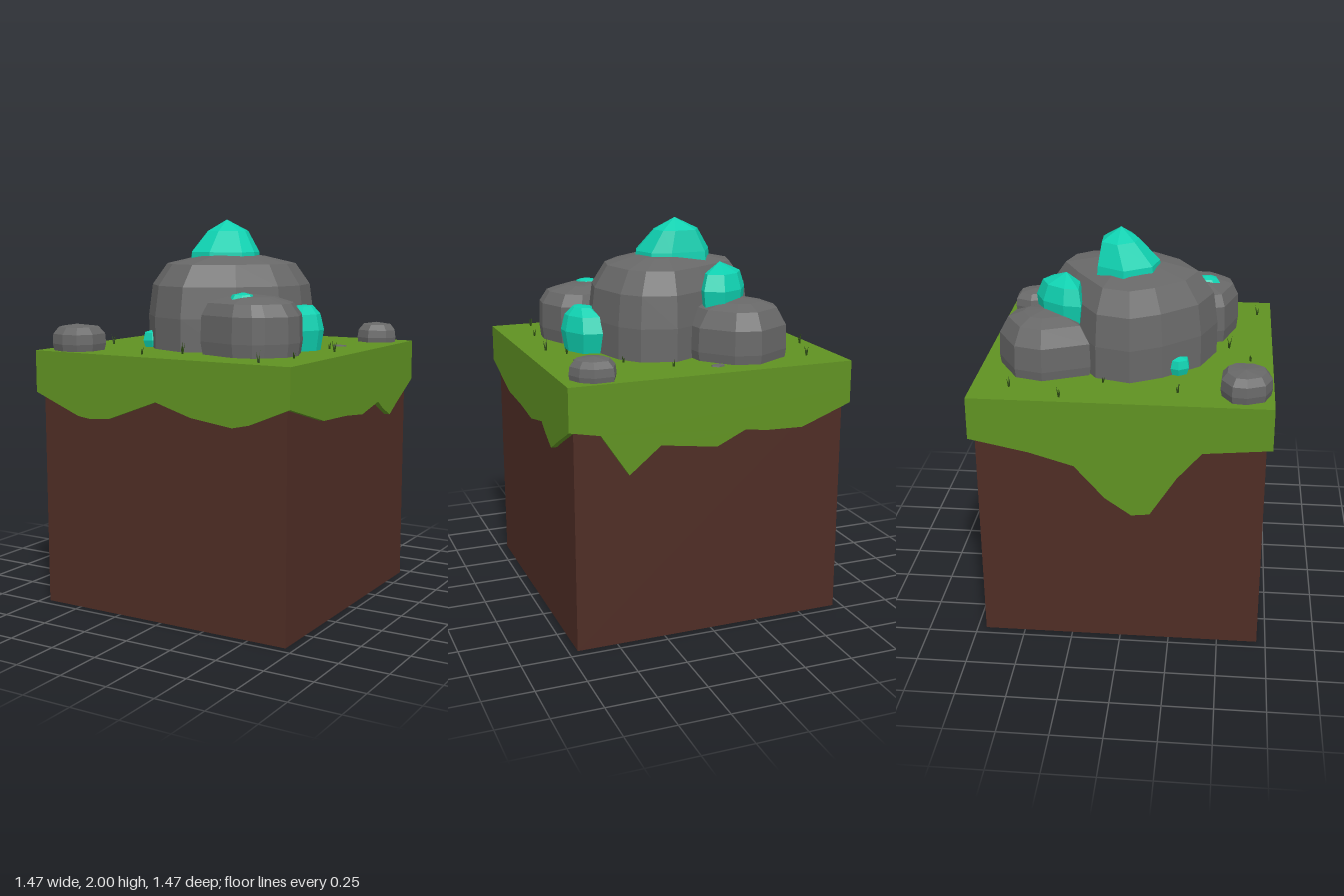
import * as THREE from 'three';

const mat = (name, color) => {
  const m = new THREE.MeshStandardMaterial({ color, flatShading: true });
  m.name = name;
  return m;
};

// Faceted stone: a clockwise (from above) plan outline lofted through rings of
// [y, scale, shiftX, shiftZ] and closed with a tip [x, y, z].
function stoneGeometry(outline, rings, tip) {
  const n = outline.length;
  const cx = outline.reduce((s, p) => s + p[0], 0) / n;
  const cz = outline.reduce((s, p) => s + p[1], 0) / n;
  const pos = [], index = [];
  for (const [y, s, dx = 0, dz = 0] of rings)
    for (const [x, z] of outline) pos.push(cx + (x - cx) * s + dx, y, cz + (z - cz) * s + dz);
  const top = rings.length * n;
  pos.push(...(tip.length ? tip : [cx, tip.y, cz]));
  for (let r = 0; r < rings.length; r++) {
    for (let i = 0; i < n; i++) {
      const a = r * n + i, b = r * n + (i + 1) % n;
      if (r === rings.length - 1) index.push(top, b, a);
      else index.push(a, a + n, b + n, a, b + n, b);
    }
  }
  const g = new THREE.BufferGeometry();
  g.setAttribute('position', new THREE.Float32BufferAttribute(pos, 3));
  g.setIndex(index);
  const flat = g.toNonIndexed();
  flat.computeVertexNormals();
  return flat;
}

// Uneven oval outline for the little stones
const oval = (cx, cz, rx, rz, n, turn = 0) => Array.from({ length: n }, (_, i) => {
  const a = turn + (i / n) * Math.PI * 2, k = i % 3 === 1 ? 0.92 : 1;
  return [cx + Math.cos(a) * rx * k, cz + Math.sin(a) * rz * k];
});

export function createModel() {
  const model = new THREE.Group();
  const grass = mat('grass green', 0x609222);
  const dirt = mat('dirt brown', 0x4f2d25);
  const rock = mat('rock grey', 0x686868);
  const crystal = mat('crystal teal', 0x0fd0b0);
  const blade = mat('blade dark green', 0x2c4a12);
  const add = (name, geometry, material, parent = model) => {
    const m = new THREE.Mesh(geometry, material);
    m.name = name;
    parent.add(m);
    return m;
  };

  // Soil block and turf slab
  const TOP = 1.335, H = 0.735, SEAM = 1.2;
  add('soilBlock', new THREE.BoxGeometry(1.41, 1.25, 1.41), dirt).position.y = 0.625;
  add('turfTop', new THREE.BoxGeometry(2 * H, TOP - SEAM, 2 * H), grass).position.y = (TOP + SEAM) / 2;

  // Ragged turf skirts; u runs left to right seen from outside each face
  const skirts = {
    frontSkirt: [0, [[-H, 1.12], [-0.47, 1.015], [-0.39, 1.005], [-0.28, 1.015], [0, 1.12], [0.2, 1.06], [0.43, 1.03], [0.52, 1.05], [H, 1.14]]],
    rightHandSkirt: [Math.PI / 2, [[-H, 1.14], [-0.38, 1.04], [-0.13, 1.03], [0.07, 1.01], [0.27, 1.05], [0.33, 1.01], [0.43, 0.96], [0.52, 1.01], [H, 1.12]]],
    backSkirt: [Math.PI, [[-H, 1.12], [-0.58, 1.09], [-0.44, 0.88], [-0.28, 1.01], [0.01, 0.97], [0.16, 1.04], [0.28, 1.025], [0.47, 1.02], [H, 1.12]]],
    leftHandSkirt: [-Math.PI / 2, [[-H, 1.12], [-0.44, 1.06], [-0.22, 0.995], [-0.07, 0.825], [0.06, 0.735], [0.15, 0.745], [0.28, 0.95], [0.4, 1.09], [H, 1.12]]],
  };
  for (const [name, [turn, edge]] of Object.entries(skirts)) {
    const shape = new THREE.Shape([...edge, [H, SEAM], [-H, SEAM]].map(([u, y]) => new THREE.Vector2(u, y)));
    const g = new THREE.ExtrudeGeometry(shape, { depth: 0.03, bevelEnabled: false });
    g.translate(0, 0, H - 0.03);
    add(name, g, grass).rotation.y = turn;
  }

  // Boulders
  add('mainBoulder', stoneGeometry(
    [[0.08, -0.44], [0.25, -0.39], [0.33, -0.29], [0.39, -0.05], [0.35, 0.12], [0.2, 0.3], [-0.04, 0.435],
      [-0.24, 0.36], [-0.4, 0.18], [-0.48, 0.03], [-0.43, -0.14], [-0.13, -0.33]],
    [[1.3, 1.02], [1.5, 1.02], [1.66, 0.97], [1.77, 0.79], [1.81, 0.4]], [0, 1.825, 0]), rock);
  add('frontBoulder', stoneGeometry(
    [[0.4, 0.1], [0.5, 0.15], [0.56, 0.3], [0.55, 0.4], [0.47, 0.49], [0.42, 0.53], [0.32, 0.55],
      [0.1, 0.48], [0.07, 0.4], [0.1, 0.2]],
    [[1.3, 0.94], [1.4, 1], [1.53, 0.98], [1.59, 0.83, -0.01], [1.62, 0.45, -0.03, -0.02]], [0.27, 1.63, 0.27]), rock);
  add('backBoulder', stoneGeometry(
    [[-0.28, -0.65], [-0.15, -0.62], [-0.02, -0.47], [0, -0.3], [-0.3, -0.2], [-0.41, -0.17], [-0.51, -0.4], [-0.47, -0.54]],
    [[1.3, 0.95], [1.38, 1], [1.5, 0.98], [1.585, 0.78], [1.615, 0.45]], [-0.26, 1.63, -0.4]), rock);
  add('cornerStoneFront', stoneGeometry(
    [[-0.6, 0.475], [-0.49, 0.48], [-0.44, 0.53], [-0.44, 0.64], [-0.49, 0.71], [-0.57, 0.725], [-0.66, 0.69], [-0.7, 0.6], [-0.69, 0.53]],
    [[1.32, 0.92], [1.37, 1], [1.42, 0.97], [1.455, 0.75]], [-0.58, 1.468, 0.59]), rock);
  add('cornerStoneBack', stoneGeometry(
    [[0.5, -0.71], [0.6, -0.715], [0.66, -0.67], [0.69, -0.6], [0.66, -0.54], [0.57, -0.5], [0.49, -0.54], [0.46, -0.62]],
    [[1.32, 0.94], [1.36, 1], [1.4, 0.95], [1.43, 0.72]], [0.57, 1.442, -0.61]), rock);
  [[-0.07, -0.6], [0.52, -0.24]].forEach(([x, z], i) =>
    add('pebble' + (i + 1), stoneGeometry(oval(x, z, 0.042, 0.027, 6, i - 0.4),
      [[1.33, 1], [1.341, 0.9]], [x, 1.343, z]), rock));

  // Crystals
  add('summitCrystal', stoneGeometry(
    [[-0.27, -0.02], [-0.19, -0.16], [0, -0.165], [0.1, -0.13], [0.14, 0], [0.11, 0.08], [-0.05, 0.15], [-0.18, 0.12]],
    [[1.77, 1], [1.83, 0.97], [1.94, 0.58, -0.01, -0.04]], [-0.06, 2, -0.05]), crystal);
  add('backCrystal', stoneGeometry(
    [[-0.35, -0.22], [-0.34, -0.31], [-0.27, -0.42], [-0.16, -0.47], [-0.07, -0.42], [-0.08, -0.36], [-0.19, -0.23]],
    [[1.56, 0.9], [1.67, 1], [1.75, 0.8, 0, 0.01]], [-0.2, 1.8, -0.31]), crystal);
  add('sideCrystal', stoneGeometry(
    [[0.36, -0.16], [0.47, -0.14], [0.53, -0.03], [0.535, 0.04], [0.48, 0.14], [0.4, 0.14], [0.3, 0]],
    [[1.31, 0.78], [1.44, 1], [1.52, 0.8], [1.56, 0.4]], [0.43, 1.566, 0]), crystal);
  add('smallFrontCrystal', stoneGeometry(oval(-0.325, 0.255, 0.064, 0.068, 7, 0.3),
    [[1.32, 0.75], [1.37, 1], [1.41, 0.85]], [-0.32, 1.428, 0.25]), crystal);
  add('frontBoulderCrystal', stoneGeometry(oval(0.285, 0.38, 0.072, 0.078, 8, 0.3),
    [[1.56, 0.9], [1.6, 1], [1.63, 0.7]], [0.285, 1.642, 0.375]), crystal);

  // Grass sprouts: [x, z, height], each with three leaning blades
  const sprouts = [[-0.58, -0.55, 0.06], [-0.68, -0.29, 0.06], [-0.49, -0.1, 0.04], [-0.58, 0.27, 0.06],
    [0.015, 0.51, 0.07], [-0.155, 0.62, 0.04], [0.53, 0.66, 0.065], [0.58, 0.4, 0.04],
    [0.62, 0.035, 0.07], [0.54, -0.08, 0.04], [0.335, -0.36, 0.04], [0.135, -0.53, 0.04]];
  sprouts.forEach(([x, z, h], i) => {
    const tuft = new THREE.Group();
    tuft.name = 'sprout' + (i + 1);
    tuft.position.set(x, TOP - 0.003, z);
    for (let k = 0; k < 3; k++) {
      const g = new THREE.ConeGeometry(0.006, h * (1 - 0.15 * k), 3);
      g.translate(0, h * (1 - 0.15 * k) / 2, 0);
      g.rotateZ(-0.22);
      g.rotateY(i * 1.3 + k * 2.1);
      add('blade' + (k + 1), g, blade, tuft);
    }
    model.add(tuft);
  });
  return model;
}
